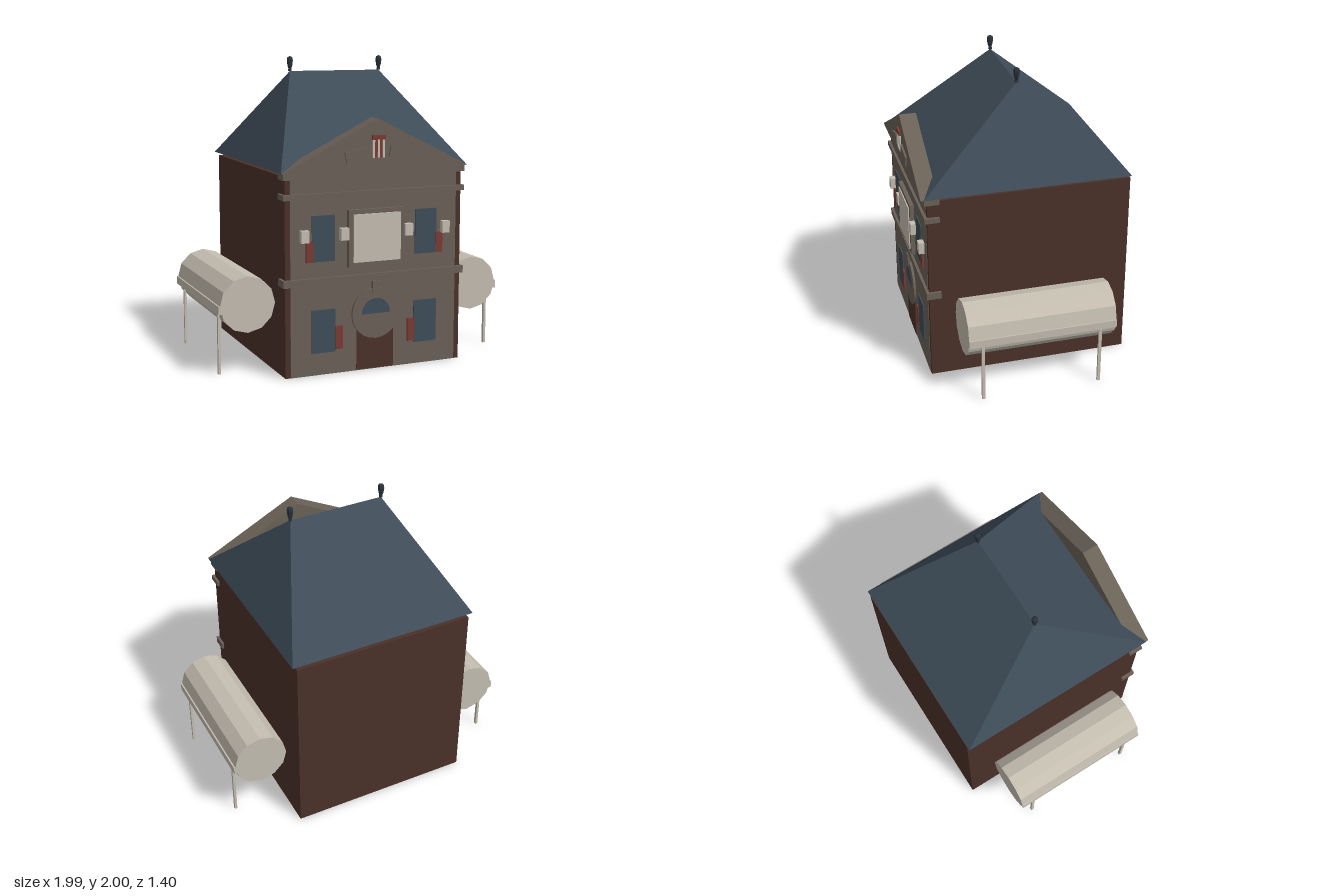
import * as THREE from 'three';

const mat = (name, color, flatShading = false) => {
  const m = new THREE.MeshStandardMaterial({ color, flatShading });
  m.name = name;
  return m;
};

export function createModel() {
  const stone = mat('taupe stone', 0x6a6157);
  const brick = mat('dark brown brick', 0x4a3129);
  const slate = mat('slate blue', 0x3e4c58, true);
  const cream = mat('cream', 0xc4bdb0, true);
  const red = mat('dull red', 0x7a3a32);
  const dark = mat('dark iron', 0x29333b, true);

  const model = new THREE.Group();
  const add = (name, geo, material, x = 0, y = 0, z = 0) => {
    const mesh = new THREE.Mesh(geo, material);
    mesh.name = name;
    mesh.position.set(x, y, z);
    model.add(mesh);
    return mesh;
  };
  // box given by its limits on each axis
  const box = (name, m, x0, x1, y0, y1, z0, z1) => add(name,
    new THREE.BoxGeometry(x1 - x0, y1 - y0, z1 - z0), m,
    (x0 + x1) / 2, (y0 + y1) / 2, (z0 + z1) / 2);
  // box and its mirror image across x = 0
  const pair = (name, m, x0, x1, ...rest) => {
    box(name + 'Left', m, x0, x1, ...rest);
    box(name + 'Right', m, -x1, -x0, ...rest);
  };

  // Main block, facade and corner strips
  box('mainBlock', brick, -0.615, 0.615, 0, 1.28, -0.7, 0.575);
  box('facade', stone, -0.58, 0.58, 0, 1.27, 0.57, 0.645);
  pair('cornerStrip', brick, 0.58, 0.615, 0, 1.27, 0.57, 0.642);
  for (const [y0, y1] of [[0.585, 0.632], [1.135, 1.17], [1.26, 1.304]])
    box('cornice', stone, -0.632, 0.632, y0, y1, 0.565, 0.662);

  // Hipped roof: four eave corners and two ridge ends
  const e = 0.645, r = 0.325, zf = 0.665, zb = -0.7, zr = -0.015;
  const hip = new THREE.BufferGeometry();
  hip.setAttribute('position', new THREE.Float32BufferAttribute([
    -e, 1.305, zf, e, 1.305, zf, e, 1.305, zb, -e, 1.305, zb,
    -r, 1.9, zr, r, 1.9, zr], 3));
  hip.setIndex([0, 1, 5, 0, 5, 4, 1, 2, 5, 2, 3, 4, 2, 4, 5, 3, 0, 4, 0, 3, 2, 0, 2, 1]);
  const roofGeo = hip.toNonIndexed();
  roofGeo.computeVertexNormals();
  add('roof', roofGeo, slate);

  // Ridge finials
  const profile = [[0, 0], [0.013, 0], [0.011, 0.02], [0.017, 0.035], [0.022, 0.07],
    [0.018, 0.09], [0, 0.1]].map(([x, y]) => new THREE.Vector2(x, y));
  for (const s of [-1, 1])
    add('finial', new THREE.LatheGeometry(profile, 8), dark, s * r, 1.9, zr);

  // Pediment
  const tri = new THREE.Shape();
  tri.moveTo(-0.643, 1.304);
  tri.lineTo(0.643, 1.304);
  tri.lineTo(0, 1.625);
  tri.closePath();
  add('pediment', new THREE.ExtrudeGeometry(tri, { depth: 0.113, bevelEnabled: false }),
    stone, 0, 0, 0.572);

  // Pediment emblem: striped shield and two tilted tablets
  box('shieldTop', red, -0.045, 0.045, 1.493, 1.522, 0.685, 0.7);
  box('shieldField', red, -0.04, 0.04, 1.38, 1.493, 0.685, 0.691);
  for (const x of [-0.034, 0, 0.034])
    box('shieldStripe', cream, x - 0.007, x + 0.007, 1.38, 1.493, 0.685, 0.696);
  for (const s of [-1, 1])
    add('tablet', new THREE.BoxGeometry(0.15, 0.07, 0.014), stone, s * 0.152, 1.403, 0.69)
      .rotation.z = -s * 0.21;

  // Windows with red banners
  pair('upperWindow', slate, 0.282, 0.436, 0.735, 1.028, 0.645, 0.653);
  pair('lowerWindow', slate, 0.277, 0.44, 0.145, 0.425, 0.645, 0.653);
  pair('upperBanner', red, 0.43, 0.478, 0.735, 0.87, 0.645, 0.658);
  pair('lowerBanner', red, 0.23, 0.279, 0.16, 0.31, 0.645, 0.658);

  // Wall lamps
  pair('outerLamp', cream, 0.465, 0.518, 0.865, 0.942, 0.645, 0.683);
  pair('innerLamp', cream, 0.197, 0.252, 0.865, 0.942, 0.645, 0.683);

  // Framed central panel
  box('panelFrame', stone, -0.195, 0.195, 0.685, 1.053, 0.645, 0.673);
  box('panel', cream, -0.165, 0.165, 0.715, 1.025, 0.67, 0.68);

  // Doorway with round surround, fanlight and keystone
  box('door', brick, -0.13, 0.13, 0.005, 0.36, 0.642, 0.65);
  const disc = add('roundSurround', new THREE.CylinderGeometry(0.166, 0.166, 0.025, 24),
    stone, 0, 0.372, 0.648);
  disc.rotation.x = Math.PI / 2;
  add('fanlight', new THREE.CircleGeometry(0.1, 20, 0, Math.PI), slate, 0, 0.37, 0.662);
  box('keystone', stone, -0.025, 0.025, 0.51, 0.585, 0.645, 0.67);

  // Side tanks with outer rail and legs
  for (const s of [-1, 1])
    add('sideTank', new THREE.CylinderGeometry(0.183, 0.183, 0.978, 12),
      cream, s * 0.803, 0.46, -0.016).rotation.x = Math.PI / 2;
  pair('tankRail', cream, 0.965, 0.995, 0.41, 0.463, -0.505, 0.473);
  for (const z of [0.378, -0.404])
    pair('tankLeg', cream, 0.958, 0.975, 0, 0.412, z - 0.01, z + 0.01);

  return model;
}
